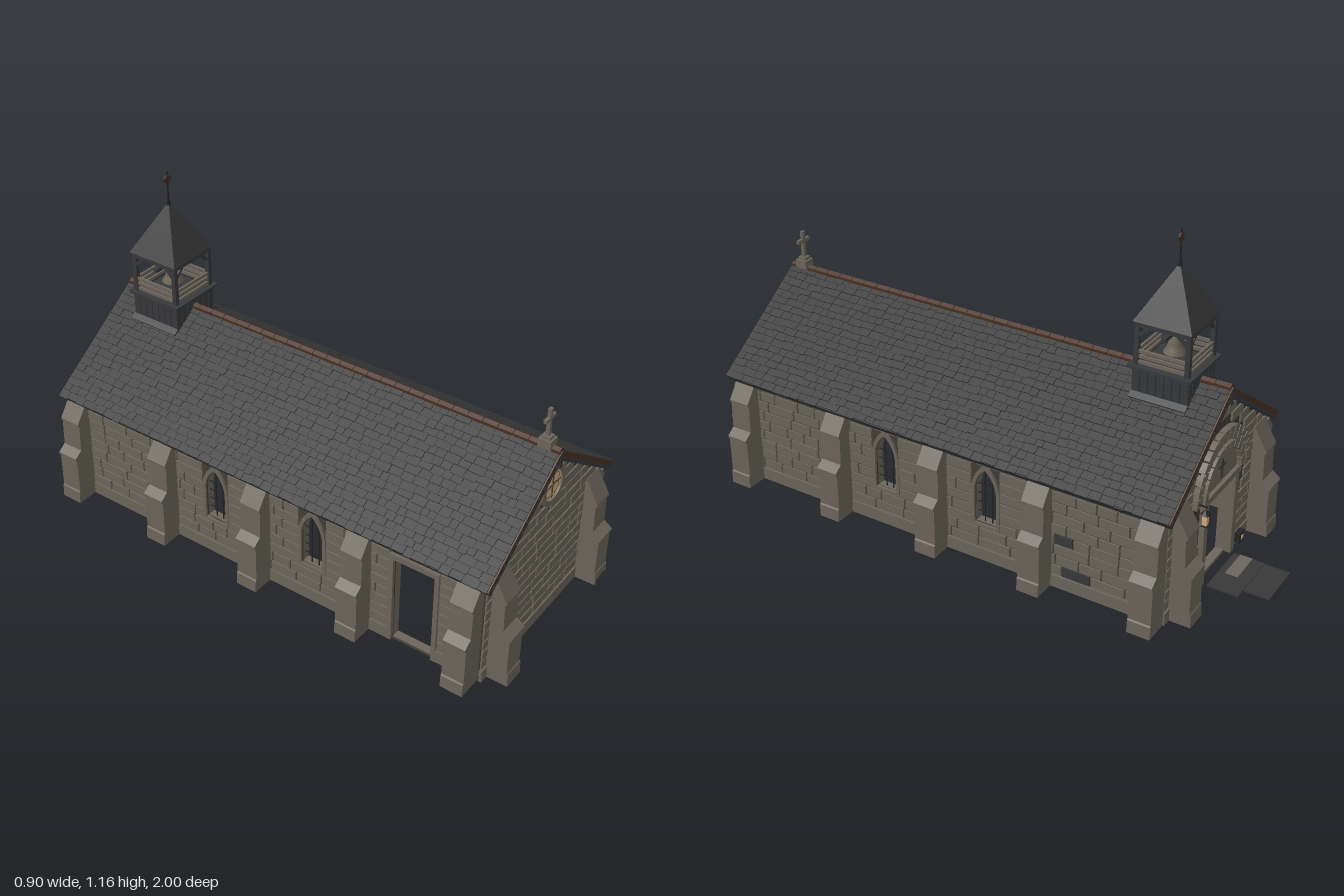
import * as THREE from 'three';
import { mergeGeometries } from 'three/addons/utils/BufferGeometryUtils.js';

const mat = (name, color) => Object.assign(new THREE.MeshStandardMaterial({ color }), { name });
const M = {
  stone: mat('rubble stone', 0x6b655b), dressed: mat('dressed stone', 0x6c655b),
  mortar: mat('dark mortar', 0x423e38), slate: mat('roof slate', 0x383838),
  timber: mat('weathered timber', 0x38393b), brown: mat('ridge clay', 0x4a3022),
  ceiling: mat('dark ceiling boards', 0x2e1b15), glass: mat('amber glass', 0xd6ab78),
  iron: mat('black iron', 0x242425), bell: mat('dull bronze', 0x6c6458),
};
let seed = 7;
const rnd = (a, b) => a + (b - a) * ((seed = (seed * 16807) % 2147483647) / 2147483647);

const box = (w, h, d, x, y, z) => new THREE.BoxGeometry(w, h, d).translate(x, y, z);
const extrude = (shape, depth, z) =>
  new THREE.ExtrudeGeometry(shape, { depth, bevelEnabled: false, curveSegments: 16 }).translate(0, 0, z);
const poly = (pts) => new THREE.Shape(pts.map((p) => new THREE.Vector2(...p)));
const flat = (g) => { const n = g.toNonIndexed(); n.computeVertexNormals(); return n; };
// bar between two points
function bar(a, b, t) {
  const A = new THREE.Vector3(...a), B = new THREE.Vector3(...b), d = B.clone().sub(A);
  const q = new THREE.Quaternion().setFromUnitVectors(new THREE.Vector3(0, 1, 0), d.clone().normalize());
  return new THREE.BoxGeometry(t, d.length(), t).applyQuaternion(q).translate(...A.add(B).multiplyScalar(0.5).toArray());
}
function add(parent, name, material, geos) {
  const g = mergeGeometries(geos.map((k) => (k.index ? k.toNonIndexed() : k)));
  const m = new THREE.Mesh(g, material);
  m.name = name;
  parent.add(m);
}

// pointed window outline
function lancet(c, w, y0, ys, yt) {
  const s = new THREE.Shape();
  s.moveTo(c - w, y0); s.lineTo(c + w, y0); s.lineTo(c + w, ys);
  s.quadraticCurveTo(c + w * 0.85, ys + (yt - ys) * 0.65, c, yt);
  s.quadraticCurveTo(c - w * 0.85, ys + (yt - ys) * 0.65, c - w, ys);
  s.closePath();
  return s;
}
const rect = (a, b, y0, y1) => poly([[a, y0], [b, y0], [b, y1], [a, y1]]);

// wall in its own plane: inner leaf, mortar bed and coursed stones
function wall(name, outline, holes, span, gaps, top) {
  const g = new THREE.Group();
  g.name = name;
  const shape = poly(outline);
  shape.holes.push(...holes);
  add(g, 'innerWall', M.dressed, [extrude(shape, 0.03, -0.04)]);
  add(g, 'mortarBed', M.mortar, [extrude(shape, 0.006, -0.01)]);
  const stones = [], patches = [];
  for (let y = 0, row = 0; top - y > 0.012; row++) {
    const h = row ? Math.min(0.0395, top - y) : 0.045, [lo, hi] = span(y + h);
    if (hi - lo < 0.05) break;
    let start = lo;
    const cuts = gaps.map((f) => f(y, y + h)).filter(Boolean).sort((a, b) => a[0] - b[0]);
    for (const [a, b] of [...cuts, [hi, hi]]) {
      let u = start;
      while (u < a - 0.012) {
        let w = row ? rnd(0.06, 0.13) : 10;
        if (a - u - w < 0.04) w = a - u;
        const gap = row ? 0.006 : 0;
        const stone = box(w - gap, h - gap, row ? 0.008 : 0.012, u + w / 2, y + h / 2, row ? rnd(-0.003, -0.001) : 0);
        const odd = name === 'leftWall' && (row === 1 || row === 4) && u < 0.42 && u + w > 0.42;
        (odd ? patches : stones).push(stone);
        u += w;
      }
      start = Math.max(start, b);
    }
    y += h;
  }
  add(g, 'stones', M.stone, stones);
  if (patches.length) add(g, 'slatePatches', M.timber, patches);
  return g;
}
const rectGap = (a, b, y0, y1) => (lo, hi) => (hi > y0 + 0.008 && lo < y1 - 0.008 ? [a, b] : null);
const roundGap = (r, cy) => (lo, hi) => {
  const d = Math.max(0, lo - cy, cy - hi);
  if (d >= r) return null;
  const w = Math.sqrt(r * r - d * d);
  return [-w, w];
};

// arc of separate blocks
function archBlocks(r0, r1, n, cy, depth) {
  return Array.from({ length: n }, (_, i) => {
    const st = Math.PI / n, s = new THREE.Shape(), p = i * st + 0.015, q = (i + 1) * st - 0.015;
    s.absarc(0, cy, r1, p, q, false);
    s.absarc(0, cy, r0, q, p, true);
    return extrude(s, depth, -0.005);
  });
}

function buttress(top, inset) {
  const s = poly([[-0.01, 0], [0.085, 0], [0.083, 0.045], [0.079, 0.05], [0.079, 0.182], [0.085, 0.185],
    [0.085, 0.193], [0.055, 0.215], [0.052, 0.315], [0.058, 0.318], [0.058, 0.326], [inset, top], [-0.01, top]]);
  return extrude(s, 0.08, -0.04);
}

function sideWall(sign) {
  // u runs along the wall; sign 1 is +x
  const Z = (z) => -sign * z, wins = [0.28, -0.12].map(Z), ends = [Z(-0.735), Z(0.885)].sort((a, b) => a - b);
  const holes = wins.map((c) => lancet(c, 0.042, 0.14, 0.27, 0.35));
  const gaps = wins.map((c) => rectGap(c - 0.052, c + 0.052, 0.13, 0.362));
  const d = Z(0.67);
  if (sign < 0) {
    holes.push(rect(d - 0.075, d + 0.075, 0.005, 0.335));
    gaps.push(rectGap(d - 0.09, d + 0.09, 0, 0.355));
  }
  const g = wall(sign > 0 ? 'leftWall' : 'rightWall',
    [[ends[0], 0], [ends[1], 0], [ends[1], 0.39], [ends[0], 0.39]], holes, () => ends, gaps, 0.388);
  const frames = wins.map((c) => {
    const s = lancet(c, 0.054, 0.128, 0.27, 0.37);
    s.holes.push(lancet(c, 0.042, 0.14, 0.27, 0.35));
    return extrude(s, 0.012, -0.008);
  });
  if (sign < 0) for (const k of [-1, 1]) frames.push(box(0.016, 0.335, 0.014, d + k * 0.083, 0.1675, 0));
  if (sign < 0) frames.push(box(0.182, 0.02, 0.014, d, 0.345, 0));
  add(g, 'openingSurrounds', M.dressed, frames);
  // window lattice
  add(g, 'windowLattice', M.iron, wins.flatMap((c) => [
    ...[-0.014, 0.014].map((x) => box(0.003, 0.185, 0.003, c + x, 0.232, -0.02)),
    ...[0.175, 0.21, 0.245, 0.28].map((y) => box(0.082, 0.003, 0.003, c, y, -0.02))]));
  g.rotation.y = sign * Math.PI / 2;
  g.position.x = sign * 0.365;
  return g;
}

export function createModel() {
  const root = new THREE.Group();
  root.name = 'chapel';
  root.add(sideWall(1), sideWall(-1));

  // gable walls
  const gable = [[-0.362, 0], [0.362, 0], [0.362, 0.39], [0, 0.645], [-0.362, 0.39]];
  const span = (y) => { const w = Math.min(0.362, (0.662 - y) / 0.7); return [-w, w]; };
  const front = wall('frontWall', gable, [], span, [roundGap(0.066, 0.545)], 0.62);
  front.position.z = 0.92;
  const ring = new THREE.Shape(), eye = new THREE.Path();
  ring.absarc(0, 0.545, 0.071, 0, Math.PI * 2, false);
  eye.absarc(0, 0.545, 0.053, 0, Math.PI * 2, true);
  ring.holes.push(eye);
  add(front, 'roseSurround', M.dressed, [extrude(ring, 0.018, -0.008)]);
  add(front, 'roseGlass', M.glass, [new THREE.CylinderGeometry(0.055, 0.055, 0.006, 32).rotateX(Math.PI / 2).translate(0, 0.545, 0)]);
  add(front, 'roseTracery', M.mortar, [
    ...[[1, 1], [-1, 1], [1, -1], [-1, -1]].map(([a, b]) => new THREE.TorusGeometry(0.021, 0.0013, 4, 24).translate(a * 0.017, 0.545 + b * 0.017, 0.003)),
    box(0.1, 0.002, 0.003, 0, 0.545, 0.004), box(0.002, 0.1, 0.003, 0, 0.545, 0.004)]);

  const back = wall('backWall', gable, [rect(-0.1, 0.1, 0.005, 0.31)], span,
    [rectGap(-0.128, 0.128, 0, 0.33), roundGap(0.198, 0.33)], 0.62);
  back.rotation.y = Math.PI;
  back.position.z = -0.77;
  // doorway jambs, tympanum and arch orders
  const tym = new THREE.Shape();
  tym.absarc(0, 0.33, 0.122, 0, Math.PI, false);
  add(back, 'doorArch', M.dressed, [
    ...[-1, 1].map((k) => box(0.026, 0.31, 0.03, k * 0.113, 0.155, 0)), box(0.27, 0.024, 0.034, 0, 0.32, 0),
    extrude(tym, 0.01, -0.006),
    ...archBlocks(0.124, 0.145, 11, 0.33, 0.026),
    ...archBlocks(0.149, 0.17, 13, 0.33, 0.018),
    ...archBlocks(0.174, 0.196, 15, 0.33, 0.022)]);
  add(back, 'tympanumCross', M.mortar, [box(0.012, 0.07, 0.006, 0, 0.385, 0.005), box(0.045, 0.012, 0.006, 0, 0.395, 0.005)]);
  // wall lantern, and a small lamp box near the ground
  add(back, 'lanternIron', M.iron, [box(0.008, 0.05, 0.006, -0.18, 0.33, 0.003), box(0.005, 0.005, 0.045, -0.18, 0.35, 0.022),
    flat(new THREE.ConeGeometry(0.018, 0.018, 6)).translate(-0.18, 0.332, 0.04), box(0.02, 0.005, 0.02, -0.18, 0.283, 0.04),
    box(0.04, 0.035, 0.02, 0.17, 0.03, 0.015)]);
  add(back, 'lanternGlass', M.glass, [box(0.016, 0.038, 0.016, -0.18, 0.304, 0.04), box(0.018, 0.014, 0.004, 0.17, 0.03, 0.025)]);
  root.add(front, back);

  // steps, one worn, and a damp stain on a buttress foot
  add(root, 'doorSteps', M.slate, [box(0.17, 0.004, 0.09, -0.015, 0.002, -0.955), box(0.21, 0.007, 0.11, 0.005, 0.0035, -0.855)]);
  add(root, 'wornStep', M.dressed, [box(0.12, 0.002, 0.045, -0.04, 0.0075, -0.845)]);
  add(root, 'dampStain', M.mortar, [extrude(poly([[0.255, 0], [0.325, 0], [0.325, 0.018], [0.29, 0.028], [0.255, 0.022]]), 0.003, 0.999)]);

  // flat boarded ceiling
  add(root, 'ceiling', M.ceiling, [box(0.67, 0.008, 1.63, 0, 0.38, 0.075)]);

  // buttresses
  const butts = [];
  for (const z of [0.87, 0.47, 0.07, -0.33, -0.73]) {
    butts.push(buttress(0.382, 0.018).translate(0.365, 0, z));
    butts.push(buttress(0.382, 0.018).rotateY(Math.PI).translate(-0.365, 0, z));
  }
  for (const x of [-0.29, 0.29]) {
    butts.push(buttress(0.41, 0.01).rotateY(-Math.PI / 2).translate(x, 0, 0.915));
    butts.push(buttress(0.41, 0.01).rotateY(Math.PI / 2).translate(x, 0, -0.765));
  }
  add(root, 'buttresses', M.dressed, butts);

  // roof slopes: x runs down the slope, y is off the surface
  const a = Math.atan(0.7), L = 0.488;
  for (const side of [0, 1]) {
    const slope = new THREE.Group();
    slope.name = side ? 'rightRoof' : 'leftRoof';
    const put = (name, m, list) => add(slope, name, m, list.map((k) => {
      k.rotateZ(-a).translate(0, 0.683, 0.075);
      return side ? k.rotateY(Math.PI).translate(0, 0, 0.15) : k;
    }));
    put('roofBed', M.slate, [box(L, 0.024, 1.715, L / 2, -0.018, 0)]);
    const tiles = [];
    for (let r = 0; r < 18; r++) {
      let z = -0.864;
      while (z < 0.863) {
        let w = rnd(0.025, 0.055);
        if (0.864 - z - w < 0.025) w = 0.864 - z;
        tiles.push(new THREE.BoxGeometry(0.04, 0.005, w - 0.0015).rotateZ(0.13)
          .translate(0.014 + r * 0.0268 + rnd(-0.003, 0.003), -0.002 + rnd(-0.001, 0.001), z + w / 2));
        z += w;
      }
    }
    put('slates', M.slate, tiles);
    put('bargeboards', M.timber, [-0.862, 0.862].map((z) => box(L, 0.014, 0.012, L / 2, -0.023, z))
      .concat(box(0.014, 0.026, 1.71, L - 0.016, -0.027, 0)));
    put('vergeStrips', M.brown, [-0.862, 0.862].map((z) => box(L, 0.013, 0.012, L / 2, -0.009, z)));
    root.add(slope);
  }
  const ridge = [];
  for (let i = 0; i < 32; i++) ridge.push(flat(new THREE.CylinderGeometry(0.015, 0.015, 0.052, 6)).rotateX(Math.PI / 2).translate(0, 0.677, -0.763 + i * 0.0541));
  add(root, 'ridgeTiles', M.brown, ridge);
  // apex blocks where the bargeboards meet
  add(root, 'apexBlocks', M.timber, [box(0.016, 0.055, 0.014, 0, 0.648, 0.937), box(0.016, 0.055, 0.014, 0, 0.648, -0.787)]);

  // gable cross
  add(root, 'gableCross', M.dressed, [box(0.042, 0.03, 0.045, 0, 0.695, 0.89), box(0.028, 0.012, 0.03, 0, 0.714, 0.89),
    box(0.013, 0.105, 0.012, 0, 0.765, 0.89), box(0.058, 0.013, 0.012, 0, 0.782, 0.89)]);

  // bell turret
  const t = new THREE.Group();
  t.name = 'bellTurret';
  t.position.z = -0.59;
  root.add(t);
  const frame = [box(0.185, 0.1, 0.185, 0, 0.665, 0)], rails = [];
  for (let k = 0; k < 4; k++) {
    const turn = (g) => g.rotateY(k * Math.PI / 2);
    for (let i = 0; i < 7; i++) frame.push(turn(box(0.025, 0.105, 0.008, -0.083 + i * 0.0277, 0.663, 0.094)));
    frame.push(turn(box(0.215, 0.009, 0.022, 0, 0.717, 0.099)), turn(box(0.016, 0.15, 0.016, 0.088, 0.792, 0.088)),
      turn(box(0.19, 0.016, 0.014, 0, 0.86, 0.088)),
      turn(bar([0.085, 0.82, 0.088], [0.045, 0.858, 0.088], 0.01)), turn(bar([-0.085, 0.82, 0.088], [-0.045, 0.858, 0.088], 0.01)));
    for (const y of [0.731, 0.75, 0.768]) rails.push(turn(box(0.165, 0.011, 0.008, 0, y, 0.088)));
  }
  // sloping flashing beside the turret
  for (const k of [-1, 1]) frame.push(bar([k * 0.096, 0.628, 0], [k * 0.115, 0.614, 0], 0.006).scale(1, 1, 33));
  frame.push(box(0.175, 0.014, 0.016, 0, 0.825, 0));
  add(t, 'turretFrame', M.timber, frame);
  add(t, 'turretRails', M.dressed, rails);
  const bellPts = [[0, 0.818], [0.012, 0.816], [0.02, 0.805], [0.023, 0.78], [0.028, 0.762], [0.038, 0.748], [0.034, 0.746], [0, 0.79]];
  add(t, 'bell', M.bell, [new THREE.LatheGeometry(bellPts.map((p) => new THREE.Vector2(...p)).reverse(), 20)]);
  // slated pyramid cap in courses
  const cap = [], n = 9, q = Math.SQRT2;
  for (let i = 0; i < n; i++) {
    const r = (j) => 0.1 * (1 - j / n);
    cap.push(flat(new THREE.CylinderGeometry(r(i + 1) * q + 0.0005, (r(i) + 0.001) * q, 0.18 / n, 4)).rotateY(Math.PI / 4).translate(0, 0.87 + (i + 0.5) * 0.18 / n, 0));
  }
  add(t, 'turretRoof', M.slate, cap);
  // finial
  add(t, 'finialRod', M.iron, [new THREE.CylinderGeometry(0.0025, 0.0035, 0.13, 8).translate(0, 1.1, 0),
    new THREE.CylinderGeometry(0.004, 0.008, 0.025, 8).translate(0, 1.053, 0), box(0.042, 0.003, 0.003, 0, 1.135, 0)]);
  add(t, 'finialDisc', M.brown, [new THREE.CylinderGeometry(0.016, 0.016, 0.005, 10).rotateX(Math.PI / 2).translate(0, 1.135, 0)]);
  return root;
}
